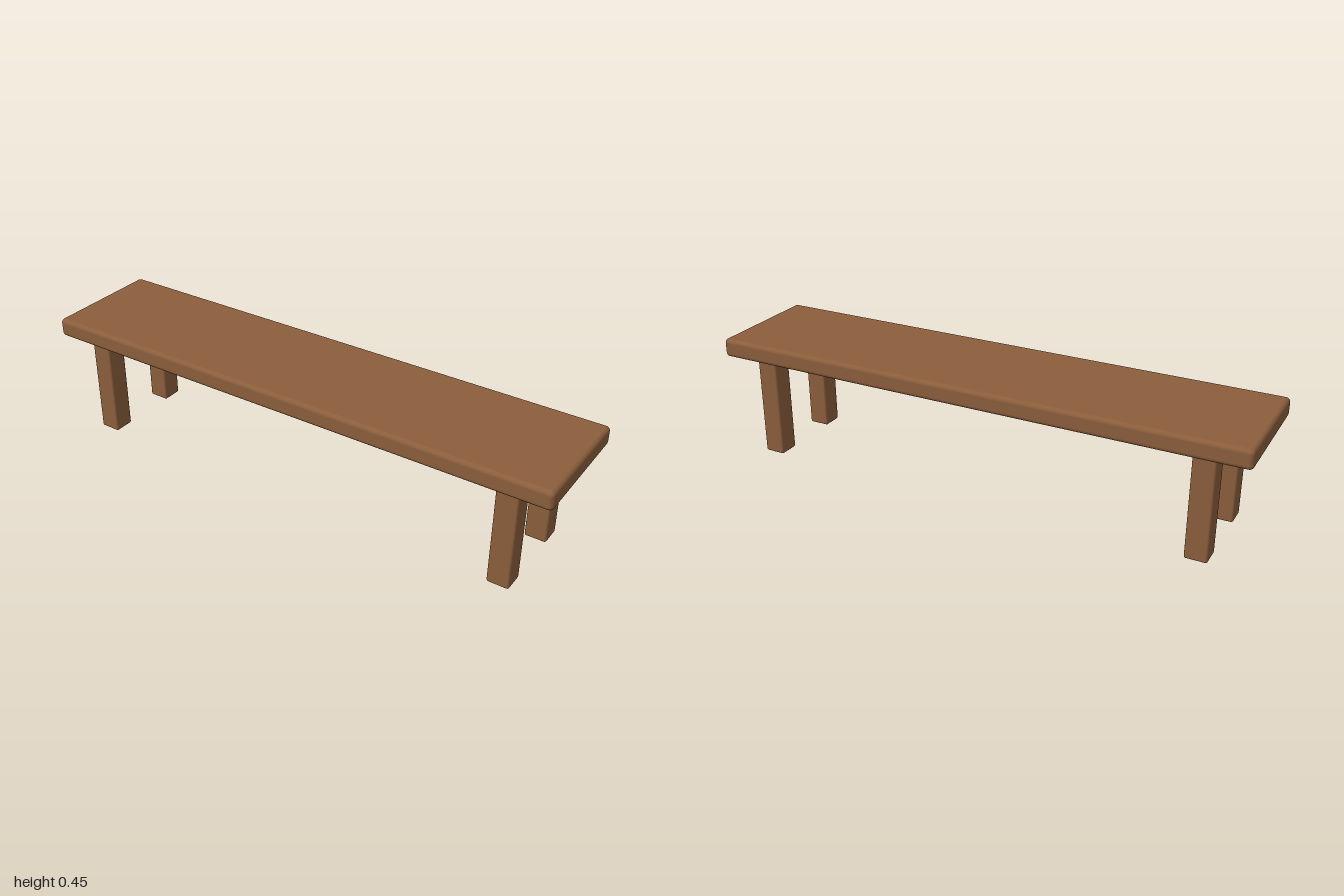
import * as THREE from 'three';
import { RoundedBoxGeometry } from 'three/addons/geometries/RoundedBoxGeometry.js';

export function createModel() {
  const bench = new THREE.Group();
  bench.name = 'bench';

  const wood = new THREE.MeshStandardMaterial({ color: 0x8b5e3c });
  wood.name = 'brown wood';

  const addBlock = (name, size, radius, position) => {
    const mesh = new THREE.Mesh(new RoundedBoxGeometry(...size, 3, radius), wood);
    mesh.name = name;
    mesh.position.set(...position);
    bench.add(mesh);
  };

  // Long plank seat with softened edges
  addBlock('seat', [2, 0.07, 0.45], 0.016, [0, 0.417, 0]);

  // Four square legs, mirrored to the corners
  for (const [side, x] of [['Left', 0.84], ['Right', -0.84]]) {
    for (const [end, z] of [['front', 0.145], ['back', -0.145]]) {
      addBlock(`${end}${side}Leg`, [0.08, 0.382, 0.08], 0.008, [x, 0.191, z]);
    }
  }

  return bench;
}
